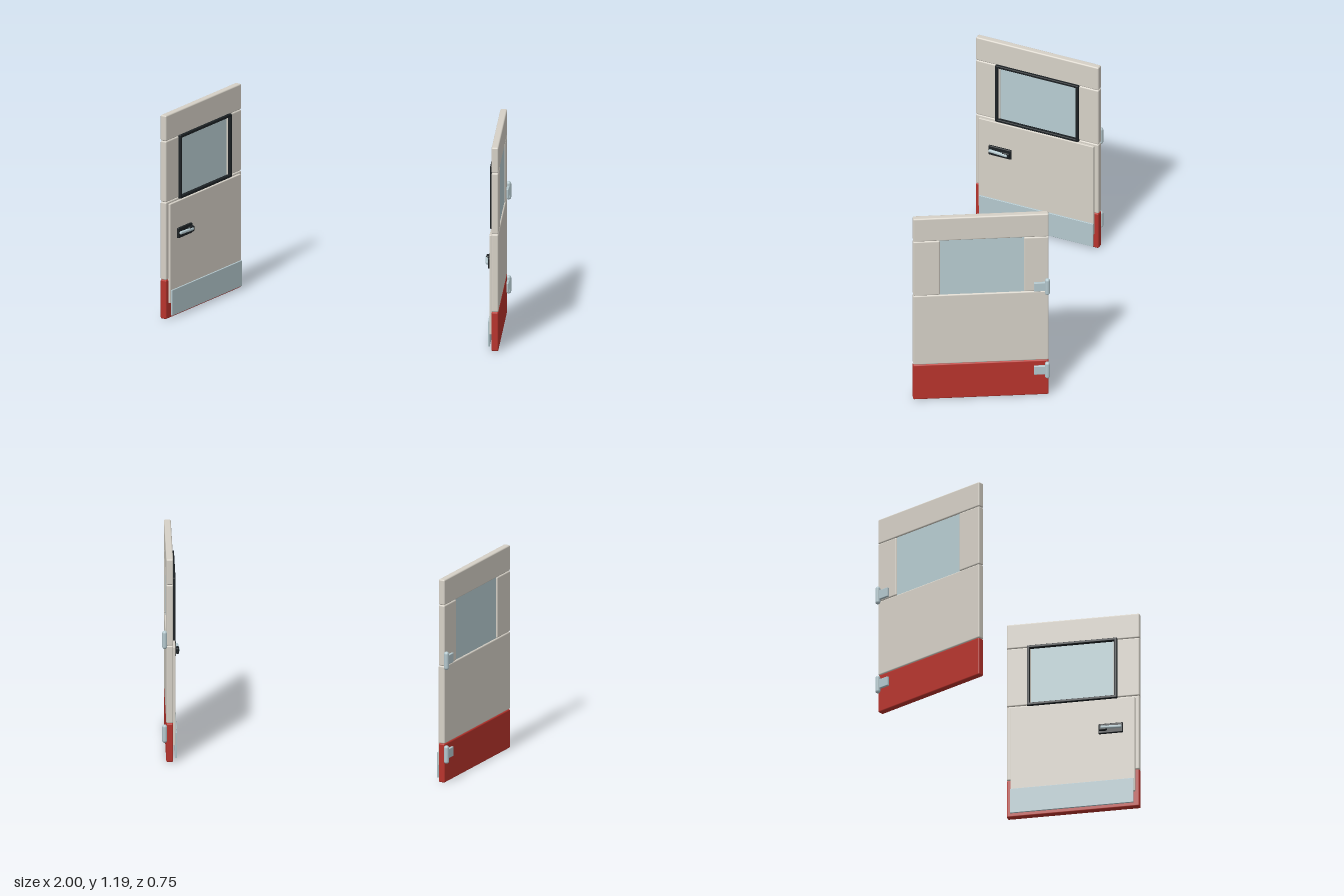
import * as THREE from 'three';
import { RoundedBoxGeometry } from 'three/addons/geometries/RoundedBoxGeometry.js';

const material = (name, color) => {
  const m = new THREE.MeshStandardMaterial({ color });
  m.name = name;
  return m;
};

export function createModel() {
  const cream = material('cream paint', 0xd6d1c7);
  const red = material('red paint', 0xb8332c);
  const glass = material('pale glass', 0xb8cdd2);
  const metal = material('pale metal', 0xb4c8ce);
  const rubber = material('black rubber', 0x1c2124);

  // One door lying along its local z; s = 1 is the left door, -1 the right.
  // Local x is positive towards the outside of the pair.
  function createDoor(s) {
    const door = new THREE.Group();
    door.name = s > 0 ? 'leftDoor' : 'rightDoor';

    // Rounded box given by its limits on each axis
    function box(name, mat, [x0, x1], [y0, y1], [z0, z1], r = 0.008) {
      const mesh = new THREE.Mesh(new RoundedBoxGeometry(x1 - x0, y1 - y0, z1 - z0, 2, r), mat);
      mesh.position.set(s * (x0 + x1) / 2, (y0 + y1) / 2, (z0 + z1) / 2);
      mesh.name = name;
      door.add(mesh);
      return mesh;
    }

    // Door shell
    const thick = [-0.0195, 0.0195];
    const full = [-0.381, 0.381];
    box('lowerPanel', red, thick, [0, 0.228], full);
    box('middlePanel', cream, thick, [0.228, 0.683], full);
    box('frontStile', cream, thick, [0.683, 1.04], [0.23, 0.381]);
    box('rearStile', cream, thick, [0.683, 1.04], [-0.381, -0.242]);
    box('topPanel', cream, thick, [1.04, 1.19], full);

    // Window and its inner seal
    box('windowPane', glass, [-0.012, 0.012], [0.678, 1.045], [-0.246, 0.235], 0.002);
    const seal = [-0.035, -0.012];
    box('sealBottom', rubber, seal, [0.676, 0.692], [-0.262, 0.254], 0.004);
    box('sealTop', rubber, seal, [1.03, 1.046], [-0.262, 0.254], 0.004);
    box('sealFront', rubber, seal, [0.68, 1.042], [0.238, 0.254], 0.004);
    box('sealRear', rubber, seal, [0.68, 1.042], [-0.262, -0.246], 0.004);

    // Inner lining and kick plate
    box('innerLining', cream, [-0.033, -0.015], [0.09, 0.67], [-0.357, 0.357], 0.004);
    box('kickPlate', metal, [-0.041, -0.031], [0.017, 0.166], [-0.357, 0.35], 0.002);

    // Inside handle: plate, boss and lever
    box('handlePlate', rubber, [-0.045, -0.031], [0.455, 0.515], [0.15, 0.29], 0.005);
    box('handleBoss', rubber, [-0.062, -0.043], [0.468, 0.502], [0.155, 0.2], 0.006);
    const lever = box('handleLever', metal, [-0.063, -0.047], [0.477, 0.495], [0.165, 0.285], 0.007);
    lever.rotation.y = s * 0.08;

    // Hinges on the outer rear edge
    for (const y of [0.167, 0.717]) {
      box('hingeLeaf', metal, [0.017, 0.033], [y - 0.028, y + 0.028], [-0.37, -0.297], 0.004);
      const knuckle = new THREE.Mesh(new THREE.CapsuleGeometry(0.0145, 0.078, 4, 16), metal);
      knuckle.name = 'hingeKnuckle';
      knuckle.position.set(s * 0.028, y, -0.373);
      door.add(knuckle);
    }

    // Swung so the front edges spread apart
    door.position.set(s * 0.8825, 0, 0.004);
    door.rotation.y = s * THREE.MathUtils.degToRad(15);
    return door;
  }

  const model = new THREE.Group();
  model.name = 'vanDoors';
  model.add(createDoor(1), createDoor(-1));
  return model;
}
